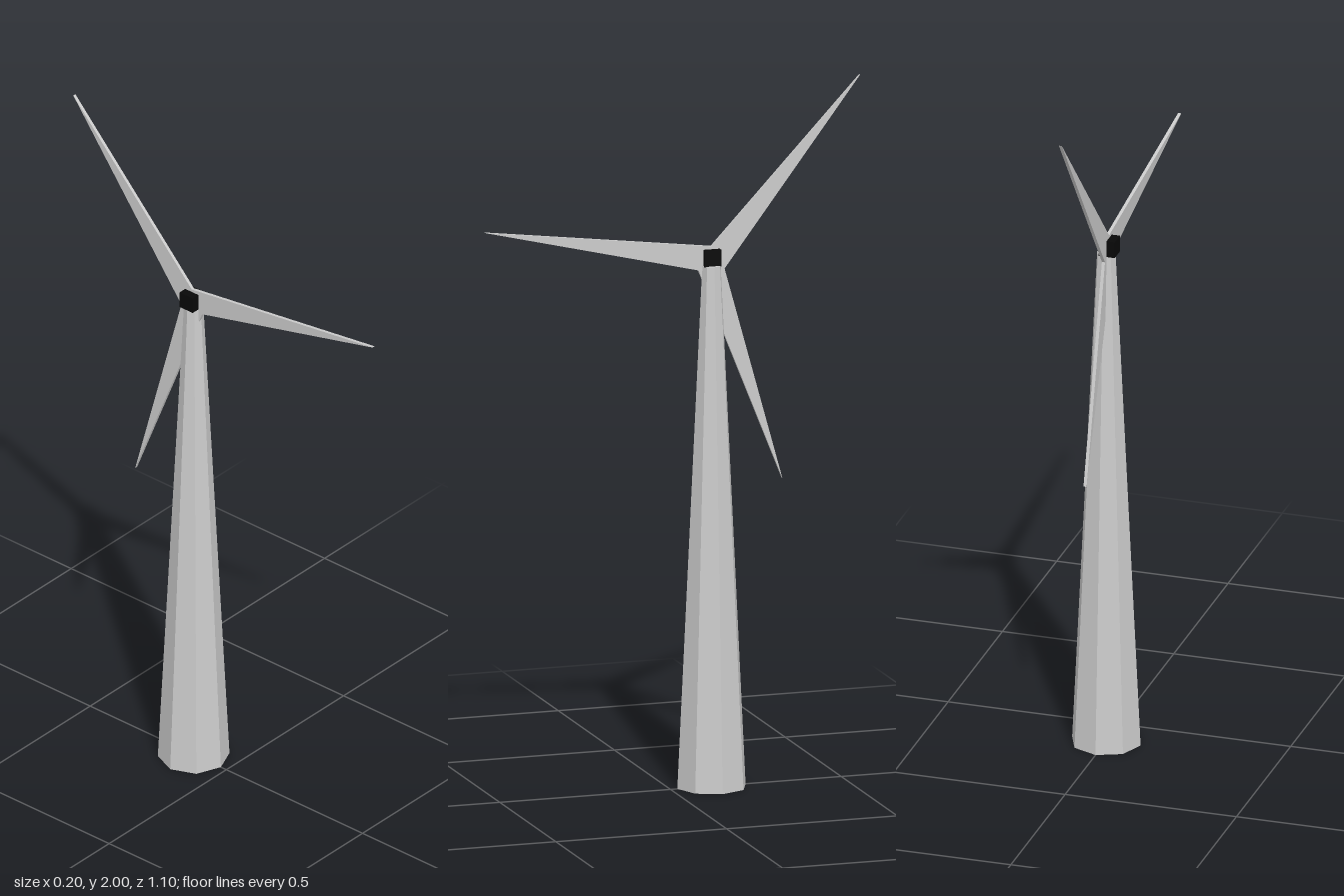
import * as THREE from 'three';

const AXIS_Z = -0.12; // tower and hub stand off centre so the rotor sweep is centred

export function createModel() {
  const model = new THREE.Group();
  model.name = 'windTurbine';

  const grey = new THREE.MeshStandardMaterial({ color: 0xcccccc, flatShading: true });
  const black = new THREE.MeshStandardMaterial({ color: 0x080808, flatShading: true });

  const add = (name, geometry, material, x, y, z) => {
    const mesh = new THREE.Mesh(geometry, material);
    mesh.name = name;
    mesh.position.set(x, y, z);
    model.add(mesh);
    return mesh;
  };

  // Tapered eight-sided tower
  const height = 1.49;
  add('tower', new THREE.CylinderGeometry(0.027, 0.1, height, 8), grey, 0, height / 2, AXIS_Z);

  // Square hub, set slightly to one side of the tower
  add('hub', new THREE.BoxGeometry(0.047, 0.048, 0.048), black, -0.0085, 1.512, AXIS_Z);

  // Three-bladed rotor: a thin star alternating blade tips and inner corners
  const tipRadius = 0.67, rootRadius = 0.044;
  const tipAngle = 11.3, rootAngle = 90;
  const centre = new THREE.Vector2(-0.113, 1.5); // z, y of the tips
  const point = (radius, degrees, z) => {
    const a = THREE.MathUtils.degToRad(degrees);
    return new THREE.Vector2(-(z + radius * Math.cos(a)), centre.y + radius * Math.sin(a));
  };
  const outline = [];
  for (let i = 0; i < 3; i++) {
    outline.push(point(tipRadius, tipAngle + i * 120, centre.x));
    outline.push(point(rootRadius, rootAngle + i * 120, AXIS_Z));
  }
  const blades = new THREE.ExtrudeGeometry(new THREE.Shape(outline), { depth: 0.009, bevelEnabled: false });
  blades.rotateY(Math.PI / 2); // star lies in the y-z plane
  add('rotorBlades', blades, grey, -0.008, 0, 0);

  return model;
}
